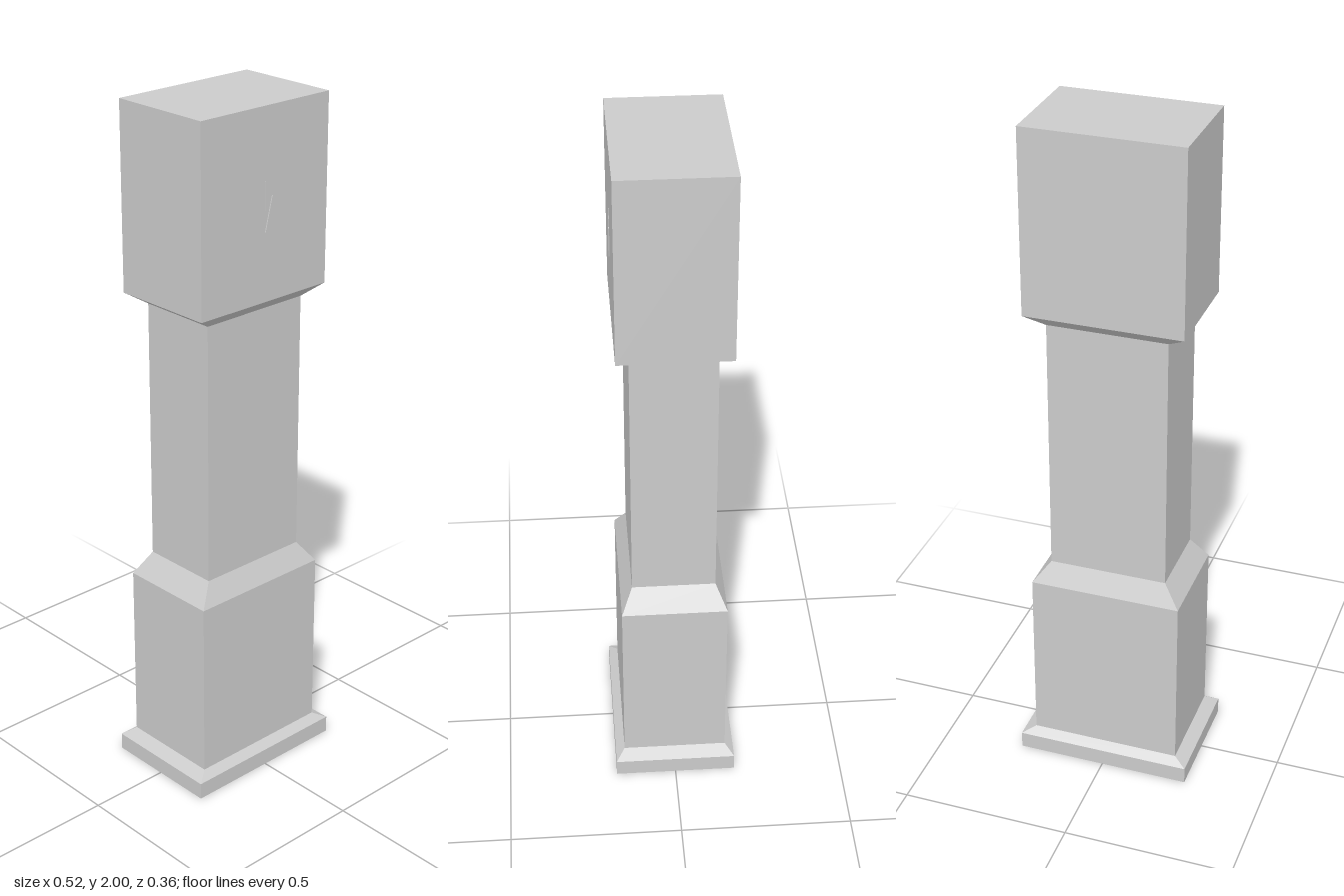
import * as THREE from 'three';

// Sections of the case, bottom to top: [half width, half depth, height]
const RINGS = [
  [0.26, 0.178, 0], [0.26, 0.178, 0.05], [0.222, 0.152, 0.07], [0.222, 0.152, 0.6],
  [0.173, 0.12, 0.665], [0.173, 0.12, 1.43], [0.228, 0.157, 1.465], [0.228, 0.157, 2],
];
const NAMES = ['plinth', 'plinthBevel', 'lowerCase', 'waistShoulder', 'waist', 'hoodFlare', 'hood'];

const corners = ([w, d, y]) => [[-w, y, d], [w, y, d], [w, y, -d], [-w, y, -d]];

// Four walls between two rectangular sections, with optional end caps
function wallGeometry(lower, upper, capBottom, capTop) {
  const a = corners(lower), b = corners(upper), pos = [];
  const quad = (p, q, r, s) => pos.push(...p, ...q, ...r, ...p, ...r, ...s);
  for (let i = 0; i < 4; i++) {
    const j = (i + 1) % 4;
    quad(a[i], a[j], b[j], b[i]);
  }
  if (capTop) quad(b[0], b[1], b[2], b[3]);
  if (capBottom) quad(a[3], a[2], a[1], a[0]);
  const g = new THREE.BufferGeometry();
  g.setAttribute('position', new THREE.Float32BufferAttribute(pos, 3));
  g.computeVertexNormals();
  return g;
}

export function createModel() {
  const group = new THREE.Group();
  const material = new THREE.MeshStandardMaterial({ color: 0xcccccc, flatShading: true });

  // Case, from plinth to hood
  NAMES.forEach((name, i) => {
    const mesh = new THREE.Mesh(
      wallGeometry(RINGS[i], RINGS[i + 1], i === 0, i === NAMES.length - 1), material);
    mesh.name = name;
    group.add(mesh);
  });

  // Thin clock hands, just proud of the hood front
  const addHand = (name, x0, y0, x1, y1, z) => {
    const hand = new THREE.Mesh(
      new THREE.BoxGeometry(0.005, Math.hypot(x1 - x0, y1 - y0), 0.003), material);
    hand.position.set((x0 + x1) / 2, (y0 + y1) / 2, z);
    hand.rotation.z = -Math.atan2(x1 - x0, y1 - y0);
    hand.name = name;
    group.add(hand);
  };
  addHand('hourHand', 0, 1.72, 0, 1.8, 0.157);
  addHand('minuteHand', 0, 1.66, 0.024, 1.757, 0.159);

  return group;
}
